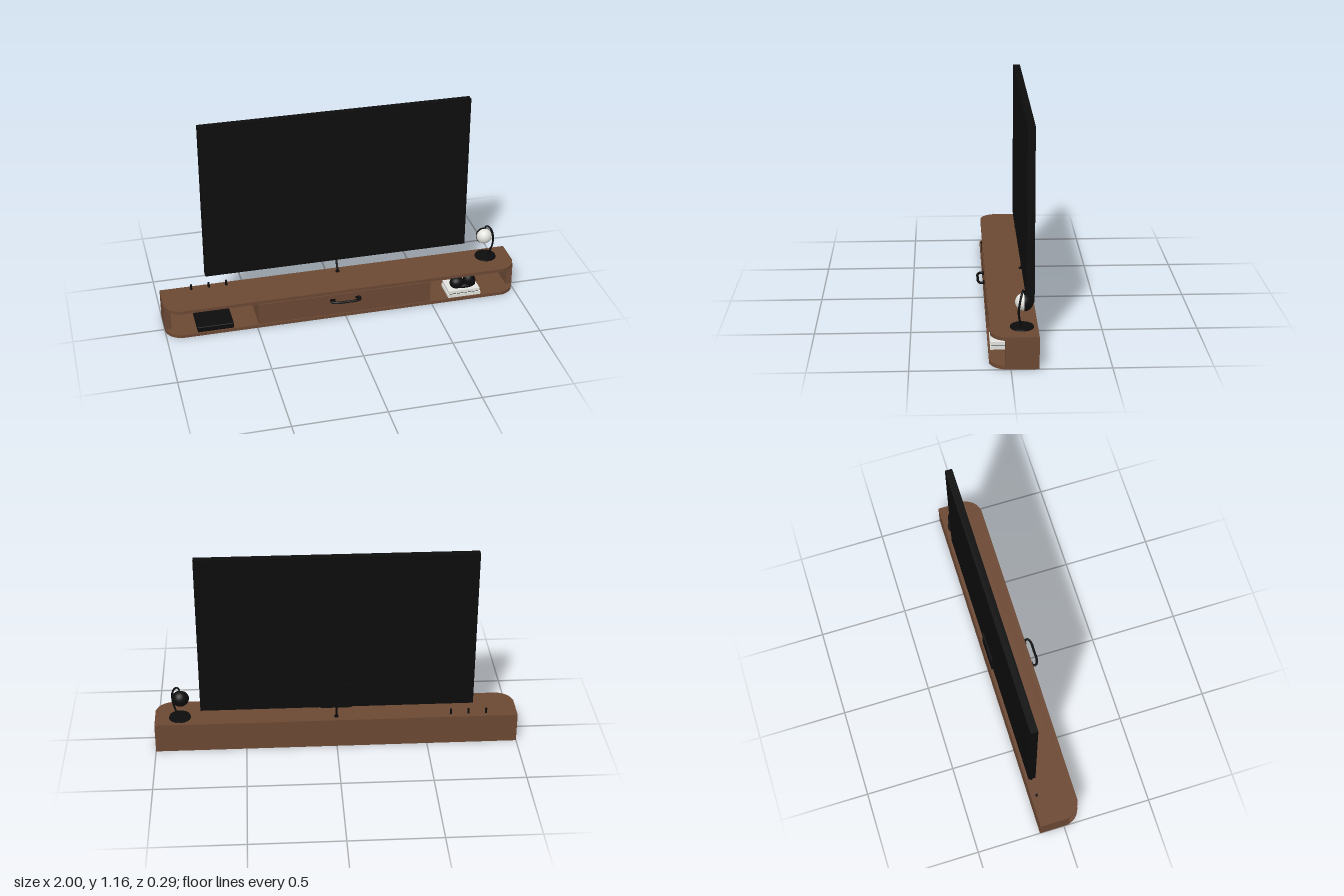
import * as THREE from 'three';
import { RoundedBoxGeometry } from 'three/addons/geometries/RoundedBoxGeometry.js';

const mat = (name, color, side = THREE.FrontSide) => {
  const m = new THREE.MeshStandardMaterial({ color, side });
  m.name = name;
  return m;
};

export function createModel() {
  const root = new THREE.Group();
  root.name = 'mediaUnit';
  const wood = mat('walnut brown', 0x6b4833);
  const black = mat('matte black', 0x0c0c0c);
  const screenBlack = mat('screen black', 0x0e0e0f);
  const white = mat('off white', 0xe2e2de);
  const shell = mat('lamp shell black', 0x0d0d0d, THREE.DoubleSide);

  const add = (parent, name, geo, material, x = 0, y = 0, z = 0) => {
    const mesh = new THREE.Mesh(geo, material);
    mesh.name = name;
    mesh.position.set(x, y, z);
    parent.add(mesh);
    return mesh;
  };
  // Box given by its limits on each axis
  const box = (parent, name, material, x0, x1, y0, y1, z0, z1) =>
    add(parent, name, new THREE.BoxGeometry(x1 - x0, y1 - y0, z1 - z0), material,
      (x0 + x1) / 2, (y0 + y1) / 2, (z0 + z1) / 2);
  const tube = (parent, name, points, radius, material) =>
    add(parent, name, new THREE.TubeGeometry(
      new THREE.CatmullRomCurve3(points.map(p => new THREE.Vector3(...p))), 32, radius, 8), material);
  const group = name => {
    const g = new THREE.Group();
    g.name = name;
    root.add(g);
    return g;
  };

  // Cabinet: top and bottom boards with rounded front corners
  const cabinet = group('cabinet');
  const board = (front) => {
    const r = 0.085, s = new THREE.Shape();
    s.moveTo(-1, 0.14);
    s.lineTo(-1, -front + r);
    s.quadraticCurveTo(-0.985, -front + 0.015, -1 + r, -front);
    s.lineTo(1 - r, -front);
    s.quadraticCurveTo(0.985, -front + 0.015, 1, -front + r);
    s.lineTo(1, 0.14);
    const g = new THREE.ExtrudeGeometry(s, { depth: 0.018, bevelEnabled: false, curveSegments: 10 });
    return g.rotateX(-Math.PI / 2);
  };
  add(cabinet, 'bottomBoard', board(0.105), wood);
  add(cabinet, 'topBoard', board(0.1), wood, 0, 0.15, 0);
  box(cabinet, 'backPanel', wood, -0.965, 0.965, 0.018, 0.15, -0.14, -0.122);
  for (const s of [-1, 1]) {
    box(cabinet, s > 0 ? 'leftSide' : 'rightSide', wood,
      Math.min(s, s * 0.965), Math.max(s, s * 0.965), 0.018, 0.15, -0.14, 0.028);
    box(cabinet, s > 0 ? 'leftDivider' : 'rightDivider', wood,
      s * 0.482 - 0.009, s * 0.482 + 0.009, 0.018, 0.15, -0.122, 0.098);
  }
  box(cabinet, 'drawerFront', wood, -0.488, 0.488, 0.022, 0.147, 0.085, 0.103);

  // Drawer pull: flat bar on two splayed posts
  const handle = group('drawerHandle');
  tube(handle, 'handleBar', [[-0.075, 0.115, 0.1], [-0.085, 0.115, 0.122], [-0.06, 0.115, 0.137],
    [0, 0.115, 0.138], [0.055, 0.115, 0.137], [0.08, 0.115, 0.122], [0.07, 0.115, 0.1]], 0.007, black);
  for (const x of [-0.075, 0.07]) box(handle, 'handlePlate', black, x - 0.014, x + 0.014, 0.108, 0.122, 0.102, 0.11);

  // Television
  const tv = group('television');
  box(tv, 'tvBody', black, -0.748, 0.745, 0.25, 1.16, -0.13, -0.091);
  box(tv, 'tvScreen', screenBlack, -0.738, 0.735, 0.265, 1.15, -0.091, -0.0895);
  box(tv, 'tvConnectorBox', black, -0.08, 0.09, 0.25, 0.4, -0.139, -0.13);
  tube(tv, 'powerCable', [[0.002, 0.27, -0.132], [0.002, 0.245, -0.132], [0.002, 0.21, -0.12],
    [0.002, 0.185, -0.104], [0.002, 0.16, -0.1]], 0.006, black);
  add(tv, 'cableGrommet', new THREE.CylinderGeometry(0.012, 0.012, 0.006, 16), black, 0.002, 0.17, -0.1);

  // Media box and aerials in the right-hand niche
  const router = group('mediaBox');
  add(router, 'mediaBoxBody', new RoundedBoxGeometry(0.2, 0.032, 0.18, 2, 0.004), black, -0.73, 0.034, 0.01);
  for (const x of [-0.828, -0.73, -0.632])
    add(router, 'aerial', new THREE.CylinderGeometry(0.006, 0.006, 0.155, 10), black, x, 0.121, -0.108);
  for (const x of [-0.91, -0.87, -0.8, -0.76, -0.68, -0.595]) {
    const hole = add(router, 'cableHole', new THREE.CylinderGeometry(0.006, 0.006, 0.003, 12), black, x, 0.095, -0.121);
    hole.rotation.x = Math.PI / 2;
  }

  // Books and dark ornaments in the left-hand niche
  const shelfDecor = group('shelfDecor');
  box(shelfDecor, 'lowerBookCover', white, 0.6, 0.79, 0.018, 0.037, -0.035, 0.095);
  box(shelfDecor, 'bookGap', black, 0.608, 0.782, 0.037, 0.041, -0.03, 0.09);
  box(shelfDecor, 'upperBook', white, 0.604, 0.785, 0.041, 0.058, -0.033, 0.092);
  const blob = (name, x, y, z, sx, sy, sz, tilt) => {
    const m = add(shelfDecor, name, new THREE.SphereGeometry(1, 24, 16), black, x, y, z);
    m.scale.set(sx, sy, sz);
    m.rotation.z = tilt;
  };
  blob('roundOrnament', 0.66, 0.091, 0.055, 0.042, 0.036, 0.034, 0);
  blob('tallOrnament', 0.732, 0.098, 0.058, 0.036, 0.044, 0.03, 0.25);
  blob('ornamentFoot', 0.7, 0.073, 0.055, 0.07, 0.017, 0.032, 0);

  // Table lamp: disc base, bent arm, globe with dark rear shell
  const lamp = group('lamp');
  add(lamp, 'lampBase', new THREE.CylinderGeometry(0.058, 0.06, 0.008, 40), black, 0.863, 0.172, -0.06);
  tube(lamp, 'lampArm', [[0.876, 0.172, -0.056], [0.886, 0.21, -0.048], [0.898, 0.26, -0.042],
    [0.899, 0.31, -0.048], [0.885, 0.35, -0.058], [0.866, 0.362, -0.066], [0.856, 0.345, -0.072]], 0.0055, black);
  const globe = new THREE.Group();
  globe.name = 'lampHead';
  globe.position.set(0.854, 0.298, -0.07);
  globe.rotation.x = Math.PI / 2;
  lamp.add(globe);
  add(globe, 'lampGlobe', new THREE.SphereGeometry(0.044, 32, 20), white);
  add(globe, 'lampShell', new THREE.SphereGeometry(0.047, 32, 14, 0, Math.PI * 2, Math.PI / 2, Math.PI / 2), shell);

  return root;
}
